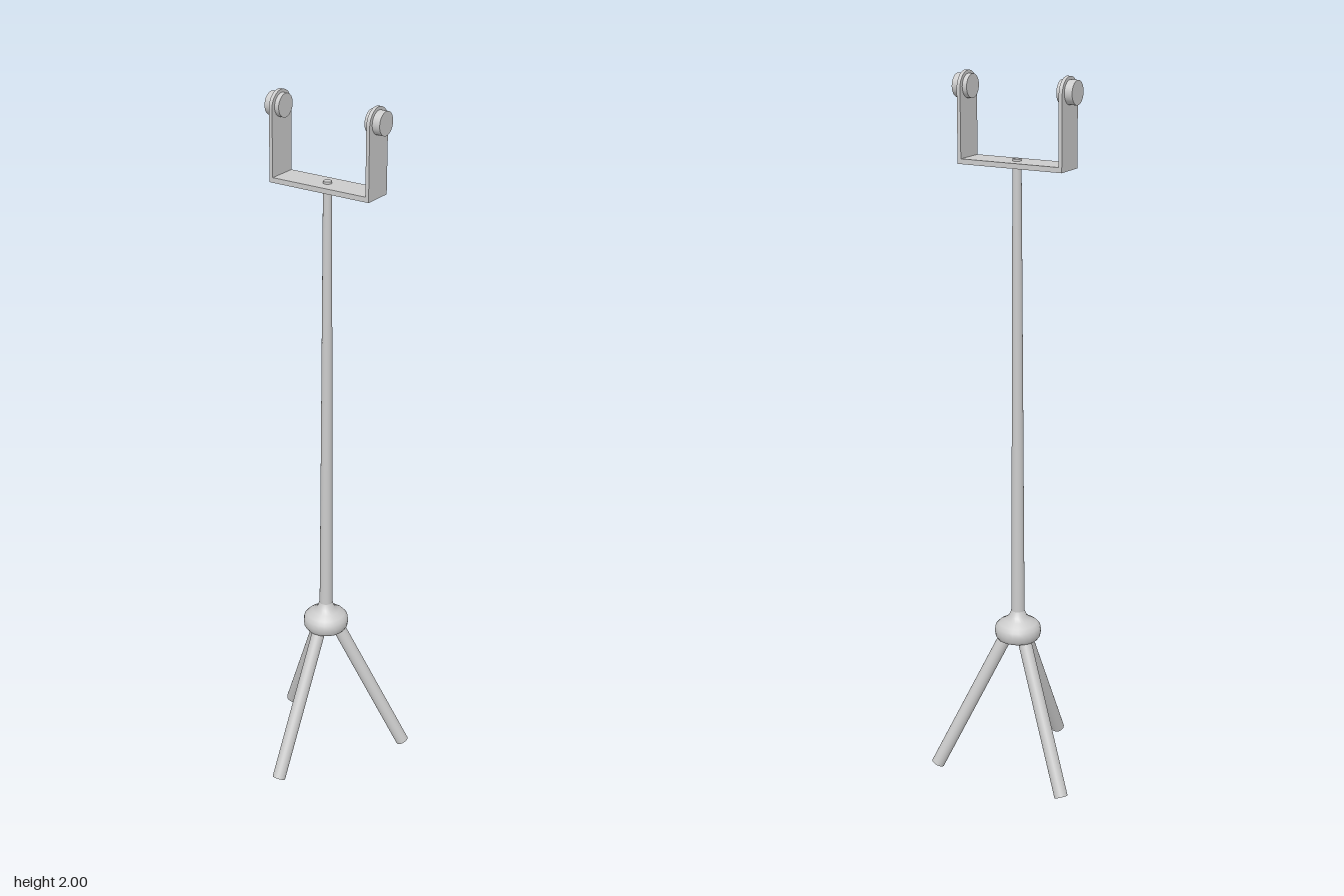
import * as THREE from 'three';

const AXIS_Z = -0.07; // the pole stands behind the origin

export function createModel() {
  const root = new THREE.Group();
  const stand = new THREE.Group();
  stand.name = 'stand';
  stand.position.z = AXIS_Z;
  root.add(stand);
  const grey = new THREE.MeshStandardMaterial({ color: 0xcccccc });
  const greyDouble = new THREE.MeshStandardMaterial({ color: 0xcccccc, side: THREE.DoubleSide });

  const add = (name, geometry, material = grey) => {
    const mesh = new THREE.Mesh(geometry, material);
    mesh.name = name;
    stand.add(mesh);
    return mesh;
  };

  // Rod between two points
  const rod = (name, a, b, radius) => {
    const dir = b.clone().sub(a);
    const mesh = add(name, new THREE.CylinderGeometry(radius, radius, dir.length(), 24));
    mesh.position.copy(a).add(b).multiplyScalar(0.5);
    mesh.quaternion.setFromUnitVectors(new THREE.Vector3(0, 1, 0), dir.normalize());
  };

  // Three splayed legs, the front one reaching a little further
  const legs = [['frontLeg', 90, 0.248], ['leftRearLeg', -30, 0.235], ['rightRearLeg', 210, 0.235]];
  for (const [name, degrees, reach] of legs) {
    const t = THREE.MathUtils.degToRad(degrees);
    const at = (r, y) => new THREE.Vector3(r * Math.cos(t), y, r * Math.sin(t));
    rod(name, at(reach, 0.009), at(0.022, 0.44), 0.019);
  }

  // Hub with a shallow recess underneath and a flared collar
  const profile = [
    [0, 0.425], [0.045, 0.425], [0.05, 0.409], [0.058, 0.411], [0.064, 0.42],
    [0.066, 0.434], [0.064, 0.448], [0.055, 0.458], [0.038, 0.468], [0.026, 0.478], [0.019, 0.495],
  ].map(([x, y]) => new THREE.Vector2(x, y));
  add('hub', new THREE.LatheGeometry(profile, 24), greyDouble);

  // Tapered pole, its tip showing through the bracket
  add('pole', new THREE.CylinderGeometry(0.012, 0.019, 1.325, 24)).position.y = 1.1175;

  // U-shaped bracket
  const W = 0.0435, BASE = 1.76, THICK = 0.01, TOP = 1.957;
  add('bracketBase', new THREE.BoxGeometry(0.31, 0.014, 2 * W)).position.y = BASE + 0.007;

  const armShape = new THREE.Shape();
  armShape.moveTo(-W, BASE);
  armShape.lineTo(W, BASE);
  armShape.lineTo(W, TOP);
  armShape.absarc(0, TOP, W, 0, Math.PI, false);
  armShape.closePath();
  const armGeometry = new THREE.ExtrudeGeometry(armShape, { depth: THICK, bevelEnabled: false, curveSegments: 20 });
  armGeometry.translate(0, 0, -THICK / 2);
  armGeometry.rotateY(Math.PI / 2);

  // Arms, each with a round knob passing through it
  const knobGeometry = new THREE.CylinderGeometry(0.032, 0.032, 0.045, 28);
  knobGeometry.rotateZ(Math.PI / 2);
  for (const [side, s] of [['left', 1], ['right', -1]]) {
    add(side + 'Arm', armGeometry).position.x = s * 0.15;
    add(side + 'Knob', knobGeometry).position.set(s * 0.1545, TOP + 0.003, 0);
  }
  return root;
}
